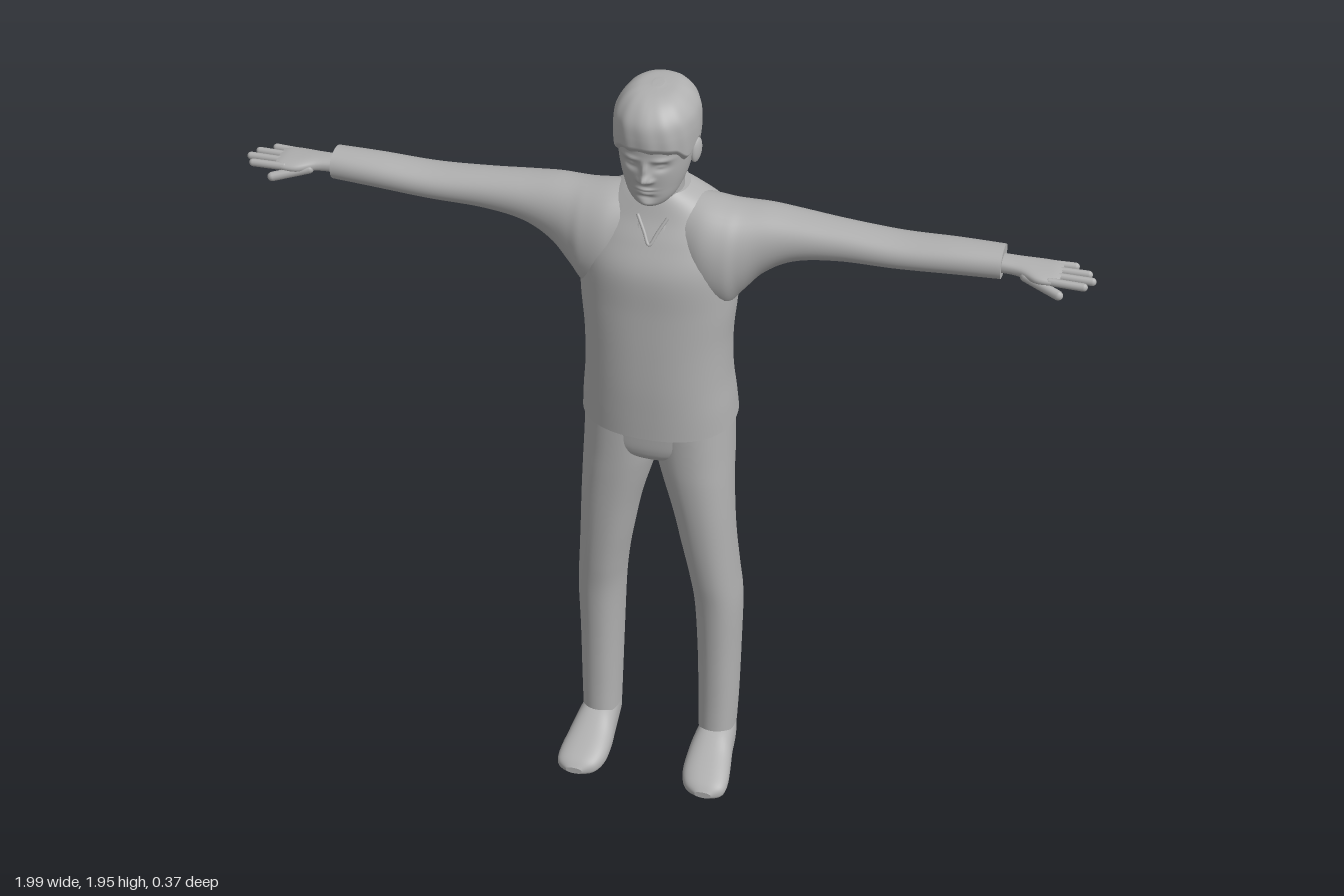
import * as THREE from 'three';
import { ParametricGeometry } from 'three/addons/geometries/ParametricGeometry.js';

const clay = new THREE.MeshStandardMaterial({ color: 0xb0b0b0, side: THREE.DoubleSide });
clay.name = 'clay grey';

// Smooth sample of a table of rows, u from 0 to 1
function sample(rows, u) {
  const f = u * (rows.length - 1), i = Math.min(Math.floor(f), rows.length - 2), t = f - i;
  const row = (k) => rows[Math.max(0, Math.min(rows.length - 1, k))];
  return rows[0].map((_, c) => {
    const p0 = row(i - 1)[c], p1 = row(i)[c], p2 = row(i + 1)[c], p3 = row(i + 2)[c];
    return p1 + 0.5 * t * (p2 - p0 + t * (2 * p0 - 5 * p1 + 4 * p2 - p3 + t * (3 * (p1 - p2) + p3 - p0)));
  });
}

// Point on a superellipse section: row = [t, aMin, aMax, bMin, bMax]
function ringPoint([, a0, a1, b0, b1], angle, n) {
  const pow = (v) => Math.sign(v) * Math.abs(v) ** (2 / n);
  return [(a0 + a1) / 2 + (a1 - a0) / 2 * pow(Math.cos(angle)),
    (b0 + b1) / 2 + (b1 - b0) / 2 * pow(Math.sin(angle))];
}

// Maps (a, b, t) to space: y lofts use x,z; x lofts use z,y; z lofts use y,x
const axes = {
  y: (a, b, t) => [a, t, b],
  x: (a, b, t) => [t, b, a],
  z: (a, b, t) => [b, a, t],
};

// Closed skin through the sections, with flat caps
function loft(rows, axis, { n = 2, steps = 40, sides = 40, shape } = {}) {
  const pos = [], index = [], map = axes[axis];
  for (let j = 0; j <= steps; j++) {
    const row = sample(rows, j / steps);
    for (let i = 0; i < sides; i++) {
      const p = map(...ringPoint(row, i / sides * Math.PI * 2, n), row[0]);
      if (shape) shape(p);
      pos.push(...p);
    }
  }
  for (let j = 0; j < steps; j++) for (let i = 0; i < sides; i++) {
    const a = j * sides + i, b = j * sides + (i + 1) % sides;
    index.push(a, a + sides, b, b, a + sides, b + sides);
  }
  for (const j of [0, steps]) {
    const base = pos.length / 3, row = sample(rows, j / steps);
    pos.push(...pos.slice(j * sides * 3, (j + 1) * sides * 3));
    pos.push(...map((row[1] + row[2]) / 2, (row[3] + row[4]) / 2, row[0]));
    for (let i = 0; i < sides; i++) {
      const a = base + i, b = base + (i + 1) % sides;
      if (j) index.push(a, base + sides, b); else index.push(b, base + sides, a);
    }
  }
  const g = new THREE.BufferGeometry();
  g.setAttribute('position', new THREE.Float32BufferAttribute(pos, 3));
  g.setIndex(index);
  g.computeVertexNormals();
  return g;
}

function mirrored(geometry) {
  const g = geometry.clone().scale(-1, 1, 1);
  const id = g.index.array;
  for (let i = 0; i < id.length; i += 3) [id[i], id[i + 1]] = [id[i + 1], id[i]];
  return g;
}

// Symmetric y sections: [y, halfWidth, zBack, zFront]
const even = (rows) => rows.map(([y, w, b, f]) => [y, -w, w, b, f]);

const headRows = even([
  [1.683, 0.012, 0.03, 0.07], [1.69, 0.036, 0.0, 0.086], [1.71, 0.056, -0.035, 0.094],
  [1.74, 0.07, -0.075, 0.098], [1.77, 0.078, -0.092, 0.102], [1.80, 0.083, -0.102, 0.104],
  [1.83, 0.086, -0.11, 0.106], [1.87, 0.086, -0.112, 0.106], [1.90, 0.08, -0.104, 0.098],
  [1.925, 0.062, -0.086, 0.075], [1.938, 0.038, -0.06, 0.045], [1.941, 0.004, -0.02, 0.0],
]);

// Face relief: [x, y, widthX, widthY, depth]
const relief = [
  [0, 1.768, 0.011, 0.011, 0.021], [0, 1.79, 0.008, 0.018, 0.012], [0.014, 1.763, 0.007, 0.006, 0.007],
  [0.034, 1.797, 0.016, 0.010, -0.011], [0.034, 1.797, 0.010, 0.005, 0.006],
  [0.036, 1.816, 0.02, 0.006, 0.005], [0, 1.737, 0.018, 0.004, 0.007], [0, 1.728, 0.015, 0.004, 0.006],
  [0, 1.7325, 0.02, 0.002, -0.004], [0, 1.716, 0.02, 0.005, -0.004], [0, 1.698, 0.018, 0.009, 0.007],
];
function sculptFace(p) {
  if (p[2] < 0.02) return;
  let dz = 0;
  for (const [x, y, sx, sy, d] of relief) {
    dz += d * Math.exp(-(((Math.abs(p[0]) - x) / sx) ** 2) - ((p[1] - y) / sy) ** 2);
  }
  p[2] += dz;
}

// Hair shell: follows the skull from a hairline that drops at the sideburns and nape
function hairGeometry() {
  const line = [1.832, 1.829, 1.822, 1.795, 1.818, 1.775, 1.758, 1.752, 1.75].map((y) => [y]);
  const uOf = (y) => {
    const i = headRows.findIndex((r) => r[0] > y) - 1;
    return (i + (y - headRows[i][0]) / (headRows[i + 1][0] - headRows[i][0])) / (headRows.length - 1);
  };
  return new ParametricGeometry((u, v, target) => {
    const a = u * Math.PI * 2, side = Math.min(u, 1 - u) * 2;
    const u0 = uOf(sample(line, side)[0]);
    const row = sample(headRows, u0 + (1 - u0) * v);
    const lift = -0.003 + 0.012 * Math.min(1, v * 12) + 0.0012 * Math.sin(a * 13 + v * 5) * (1 - v);
    const grown = [row[0], row[1] - lift, row[2] + lift, row[3] - lift, row[4] + lift];
    const [x, z] = ringPoint(grown, Math.PI / 2 - a, 2.2);
    target.set(x, row[0] + 0.008 * v, z);
  }, 96, 30);
}

// Turned-down collar, open at the front with two points
function collarGeometry() {
  return new ParametricGeometry((u, v, target) => {
    const a = 0.35 + u * (Math.PI * 2 - 0.7), c = Math.cos(a);
    const tip = Math.max(0, c) ** 4;
    const top = 1.663 - 0.026 * c, r = 0.09 - 0.027 * v;
    target.set(Math.sin(a) * r, top - (1 - v) * (0.034 + 0.012 * tip) + 0.006 * Math.sin(v * Math.PI), -0.033 + c * (r + 0.006));
  }, 64, 8);
}

// Finger or thumb from knuckle to tip
function digit(from, to, radius) {
  const a = new THREE.Vector3(...from), d = new THREE.Vector3(...to).sub(a), len = d.length();
  const g = new THREE.CapsuleGeometry(radius, len - radius, 5, 12);
  g.scale(1, 1, 0.9).translate(0, len / 2 - radius / 2, 0);
  const q = new THREE.Quaternion().setFromUnitVectors(new THREE.Vector3(0, 1, 0), d.normalize());
  return g.applyQuaternion(q).translate(a.x, a.y, a.z);
}

export function createModel() {
  const model = new THREE.Group();
  model.name = 'standingMan';
  const add = (name, geometry) => {
    const mesh = new THREE.Mesh(geometry, clay);
    mesh.name = name;
    model.add(mesh);
  };
  const pair = (name, geometry) => {
    add(name + 'Left', geometry);
    add(name + 'Right', mirrored(geometry));
  };

  // Head and neck
  add('head', loft(headRows, 'y', { n: 2.2, steps: 110, sides: 120, shape: sculptFace }));
  add('hair', hairGeometry());
  add('neck', loft(even([[1.58, 0.07, -0.11, 0.03], [1.65, 0.058, -0.092, 0.028],
    [1.70, 0.055, -0.082, 0.033], [1.76, 0.06, -0.086, 0.03]]), 'y'));
  const ear = new THREE.SphereGeometry(1, 16, 12).scale(0.009, 0.03, 0.018);
  pair('ear', ear.rotateX(-0.2).rotateY(-0.35).translate(0.087, 1.79, -0.012));

  // Shirt
  add('shirtBody', loft(even([[1.06, 0.185, -0.182, 0.115], [1.12, 0.181, -0.17, 0.116],
    [1.2, 0.174, -0.156, 0.116], [1.3, 0.174, -0.146, 0.112], [1.4, 0.183, -0.146, 0.106],
    [1.5, 0.186, -0.155, 0.1], [1.57, 0.18, -0.154, 0.072], [1.62, 0.155, -0.14, 0.046],
    [1.66, 0.1, -0.116, 0.03], [1.68, 0.065, -0.1, 0.02]]), 'y', { n: 2.3, steps: 60, sides: 64 }));
  pair('sleeve', loft([[0.05, -0.12, 0.045, 1.43, 1.665], [0.11, -0.13, 0.07, 1.4, 1.662],
    [0.165, -0.132, 0.068, 1.395, 1.655], [0.2, -0.128, 0.053, 1.432, 1.652],
    [0.25, -0.12, 0.034, 1.488, 1.65], [0.32, -0.11, 0.02, 1.528, 1.643], [0.42, -0.1, 0.012, 1.545, 1.635],
    [0.55, -0.096, 0.012, 1.55, 1.628], [0.68, -0.09, 0.01, 1.558, 1.634],
    [0.785, -0.083, 0.006, 1.563, 1.637]], 'x', { n: 2.1, steps: 60 }));
  add('collar', collarGeometry());
  add('neckline', new THREE.TubeGeometry(new THREE.CatmullRomCurve3([[-0.035, 1.632, 0.039],
    [-0.016, 1.6, 0.056], [0, 1.573, 0.07], [0.016, 1.6, 0.056], [0.035, 1.632, 0.039]]
    .map((p) => new THREE.Vector3(...p))), 32, 0.004, 8));

  // Hands
  pair('palm', loft([[0.76, -0.06, -0.008, 1.58, 1.618], [0.82, -0.062, -0.002, 1.582, 1.616],
    [0.865, -0.07, 0.02, 1.582, 1.613], [0.9, -0.071, 0.021, 1.585, 1.61],
    [0.918, -0.064, 0.014, 1.59, 1.606]], 'x', { n: 2.4, steps: 20, sides: 28 }));
  const tips = [[0.012, 0.985], [-0.013, 1.0], [-0.037, 0.988], [-0.06, 0.955]];
  tips.forEach(([z, x], i) => pair('finger' + (i + 1), digit([0.895, 1.598, z], [x - 0.004, 1.597, z * 1.08], 0.0095)));
  pair('thumb', digit([0.84, 1.592, -0.002], [0.93, 1.575, 0.033], 0.012));

  // Trousers
  add('trouserSeat', loft(even([[0.95, 0.04, -0.075, 0.045], [0.975, 0.12, -0.125, 0.074],
    [1.0, 0.168, -0.143, 0.084], [1.04, 0.178, -0.154, 0.087], [1.08, 0.178, -0.158, 0.088]]), 'y', { n: 2.4 }));
  pair('trouserLeg', loft([[0.1, 0.105, 0.2, -0.09, 0.036], [0.2, 0.103, 0.203, -0.1, 0.034],
    [0.35, 0.099, 0.205, -0.112, 0.037], [0.5, 0.092, 0.207, -0.115, 0.047], [0.6, 0.08, 0.2, -0.106, 0.06],
    [0.7, 0.062, 0.193, -0.097, 0.071], [0.8, 0.042, 0.188, -0.097, 0.079], [0.9, 0.014, 0.184, -0.113, 0.084],
    [0.97, -0.005, 0.182, -0.135, 0.085], [1.08, -0.02, 0.178, -0.15, 0.085]], 'y', { n: 2.2, steps: 60 }));

  // Shoes
  pair('shoe', loft([[-0.093, 0.03, 0.07, 0.135, 0.172], [-0.084, 0.008, 0.1, 0.118, 0.188],
    [-0.03, 0.0, 0.117, 0.11, 0.2], [0.03, 0.0, 0.112, 0.103, 0.207], [0.08, 0.0, 0.088, 0.099, 0.215],
    [0.13, 0.001, 0.068, 0.102, 0.221], [0.165, 0.006, 0.052, 0.118, 0.216],
    [0.184, 0.018, 0.036, 0.148, 0.19]], 'z', { n: 2.5 }));
  return model;
}
